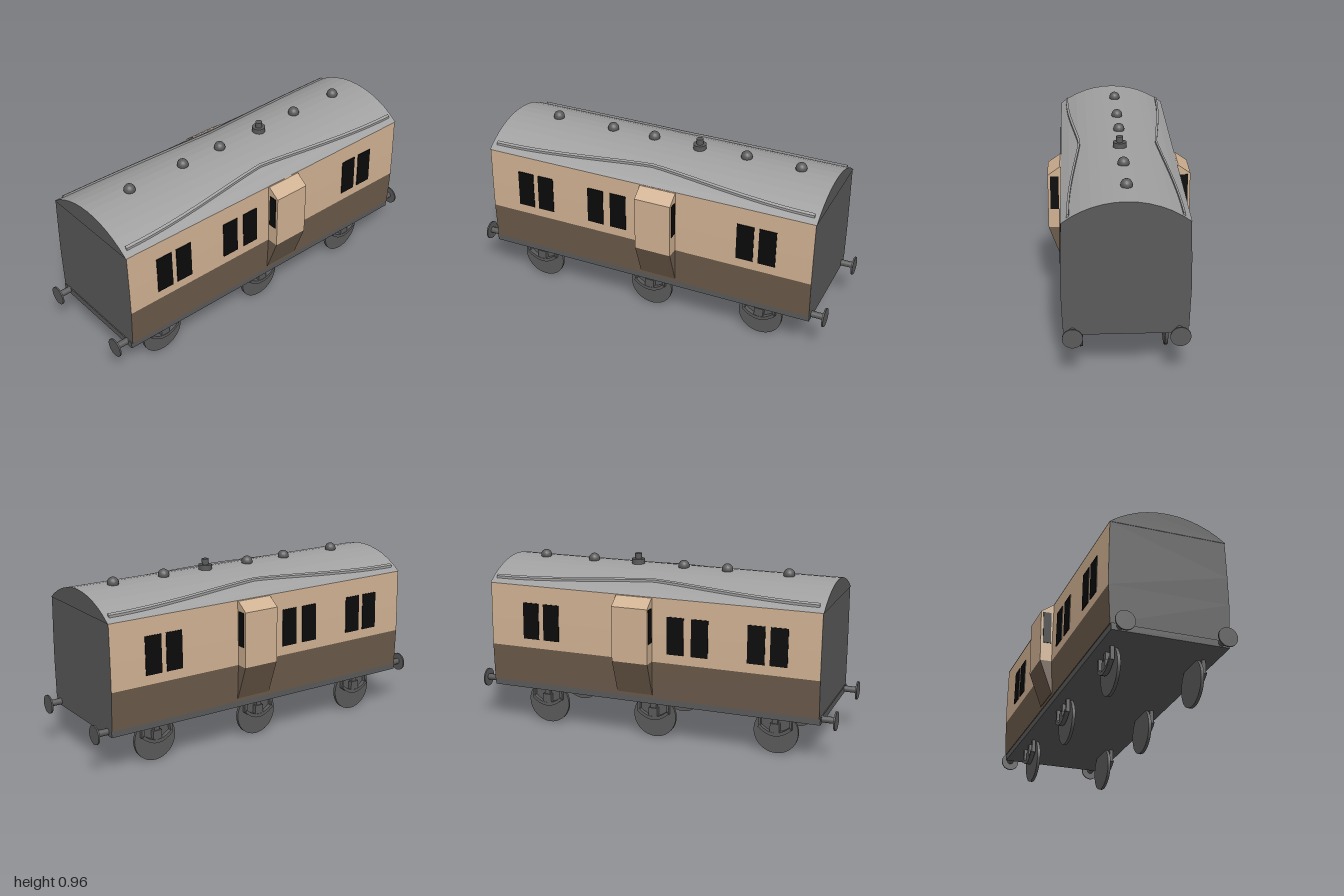
import * as THREE from 'three';

const material = (name, color) => {
  const m = new THREE.MeshStandardMaterial({ color });
  m.name = name;
  return m;
};

export function createModel() {
  const model = new THREE.Group();
  model.name = 'railwayCarriage';
  const tan = material('tanPaint', 0xd0b192);
  const brown = material('brownPaint', 0x6b5a4a);
  const roofGrey = material('roofGrey', 0xa0a0a0);
  const iron = material('darkGrey', 0x5a5a5a);
  const black = material('windowBlack', 0x0a0a0a);

  const add = (name, geometry, mat, x = 0, y = 0, z = 0) => {
    const mesh = new THREE.Mesh(geometry, mat);
    mesh.name = name;
    mesh.position.set(x, y, z);
    model.add(mesh);
    return mesh;
  };
  const box = (name, w, h, d, mat, x, y, z) => add(name, new THREE.BoxGeometry(w, h, d), mat, x, y, z);
  // Extrude an x-y outline from z0 to z1
  const extrude = (name, points, z0, z1, mat) => {
    const shape = new THREE.Shape(points.map(([x, y]) => new THREE.Vector2(x, y)));
    return add(name, new THREE.ExtrudeGeometry(shape, { depth: z1 - z0, bevelEnabled: false }), mat, 0, 0, z0);
  };

  // Body in two paint bands with dark ends, closed by an arched roof
  const BACK = -0.925, FRONT = 0.92;
  extrude('lowerBody', [[-0.304, 0.247], [0.304, 0.247], [0.311, 0.45], [-0.311, 0.45]], BACK, FRONT, [iron, brown]);
  extrude('upperBody', [[-0.311, 0.45], [0.311, 0.45], [0.309, 0.6], [0.303, 0.795], [-0.303, 0.795], [-0.309, 0.6]],
    BACK, FRONT, [iron, tan]);
  const R = 0.4955, roofCentre = 0.4045;
  const roofY = x => roofCentre + Math.sqrt(R * R - x * x);
  const half = Math.asin(0.305 / R), arch = [];
  for (let i = 0; i <= 12; i++) {
    const a = half - (2 * half * i) / 12;
    arch.push([R * Math.sin(a), roofCentre + R * Math.cos(a)]);
  }
  extrude('roof', arch, BACK - 0.003, FRONT + 0.003, [iron, roofGrey]);
  box('underframe', 0.6, 0.035, 1.85, iron, 0, 0.2305, 0);

  // Roof ventilators and lamp
  for (const z of [-0.735, -0.44, 0.085, 0.33, 0.665]) {
    add('roofVent', new THREE.SphereGeometry(0.03, 16, 12), iron, -0.01, 0.908, z);
  }
  add('lampBase', new THREE.CylinderGeometry(0.035, 0.035, 0.04, 20), iron, -0.003, 0.906, -0.18);
  add('lampTop', new THREE.CylinderGeometry(0.018, 0.018, 0.04, 16), iron, -0.003, 0.936, -0.18);

  for (const s of [-1, 1]) {
    const flip = pts => pts.map(([x, y]) => [s * x, y]);

    // Rain strip bowing inwards over the middle of the roof
    const strip = new THREE.BoxGeometry(0.012, 0.018, 1.8, 1, 1, 32);
    const p = strip.attributes.position;
    for (let i = 0; i < p.count; i++) {
      const t = Math.min(1, Math.abs(p.getZ(i)) / 0.9);
      const x = s * (0.206 + 0.064 * Math.sin(t * Math.PI / 2) ** 1.2) + p.getX(i);
      p.setXYZ(i, x, roofY(x) + 0.003 + p.getY(i), p.getZ(i));
    }
    strip.computeVertexNormals();
    add('rainStrip', strip, roofGrey, 0, 0, -0.005);

    // Side windows, slightly tilted with the wall
    for (const z of [0.705, 0.585, 0.283, 0.15, -0.565, -0.685]) {
      box('sideWindow', 0.008, 0.2, 0.092, black, s * 0.3085, 0.6, z).rotation.z = s * 0.025;
    }

    // Guard's lookout with end windows
    extrude('lookoutLower', flip([[0.3, 0.265], [0.308, 0.265], [0.375, 0.45], [0.3, 0.45]]), -0.18, 0.02, brown);
    extrude('lookoutUpper', flip([[0.3, 0.45], [0.375, 0.45], [0.375, 0.745], [0.31, 0.792], [0.3, 0.792]]),
      -0.18, 0.02, tan);
    for (const z of [-0.181, 0.021]) box('lookoutWindow', 0.044, 0.183, 0.005, black, s * 0.34, 0.648, z);

    // Buffers at both ends
    for (const e of [-1, 1]) {
      add('bufferShaft', new THREE.CylinderGeometry(0.017, 0.017, 0.08, 16), iron, s * 0.257, 0.234, e * 0.955)
        .rotation.x = Math.PI / 2;
      add('bufferHead', new THREE.CylinderGeometry(0.05, 0.05, 0.008, 28), iron, s * 0.257, 0.232, e * 0.996)
        .rotation.x = Math.PI / 2;
    }

    // Disc wheels with axle box, leaf spring and hangers
    for (const z of [0.675, 0, -0.635]) {
      add('wheel', new THREE.CylinderGeometry(0.12, 0.12, 0.016, 36), iron, s * 0.213, 0.12, z)
        .rotation.z = Math.PI / 2;
      box('axleBox', 0.024, 0.05, 0.05, iron, s * 0.237, 0.145, z);
      box('axleGuard', 0.02, 0.06, 0.03, iron, s * 0.233, 0.19, z);
      const band = new THREE.Shape();
      band.moveTo(-0.09, 0.145);
      band.quadraticCurveTo(0, 0.06, 0.09, 0.145);
      band.lineTo(0.08, 0.158);
      band.quadraticCurveTo(0, 0.085, -0.08, 0.158);
      const spring = new THREE.ExtrudeGeometry(band, { depth: 0.024, bevelEnabled: false, curveSegments: 8 });
      spring.translate(0, 0, -0.012).rotateY(Math.PI / 2);
      add('leafSpring', spring, iron, s * 0.239, 0, z);
      for (const k of [-1, 1]) {
        box('springHanger', 0.02, 0.075, 0.014, iron, s * 0.236, 0.18, z + k * 0.083);
      }
    }
  }
  return model;
}
